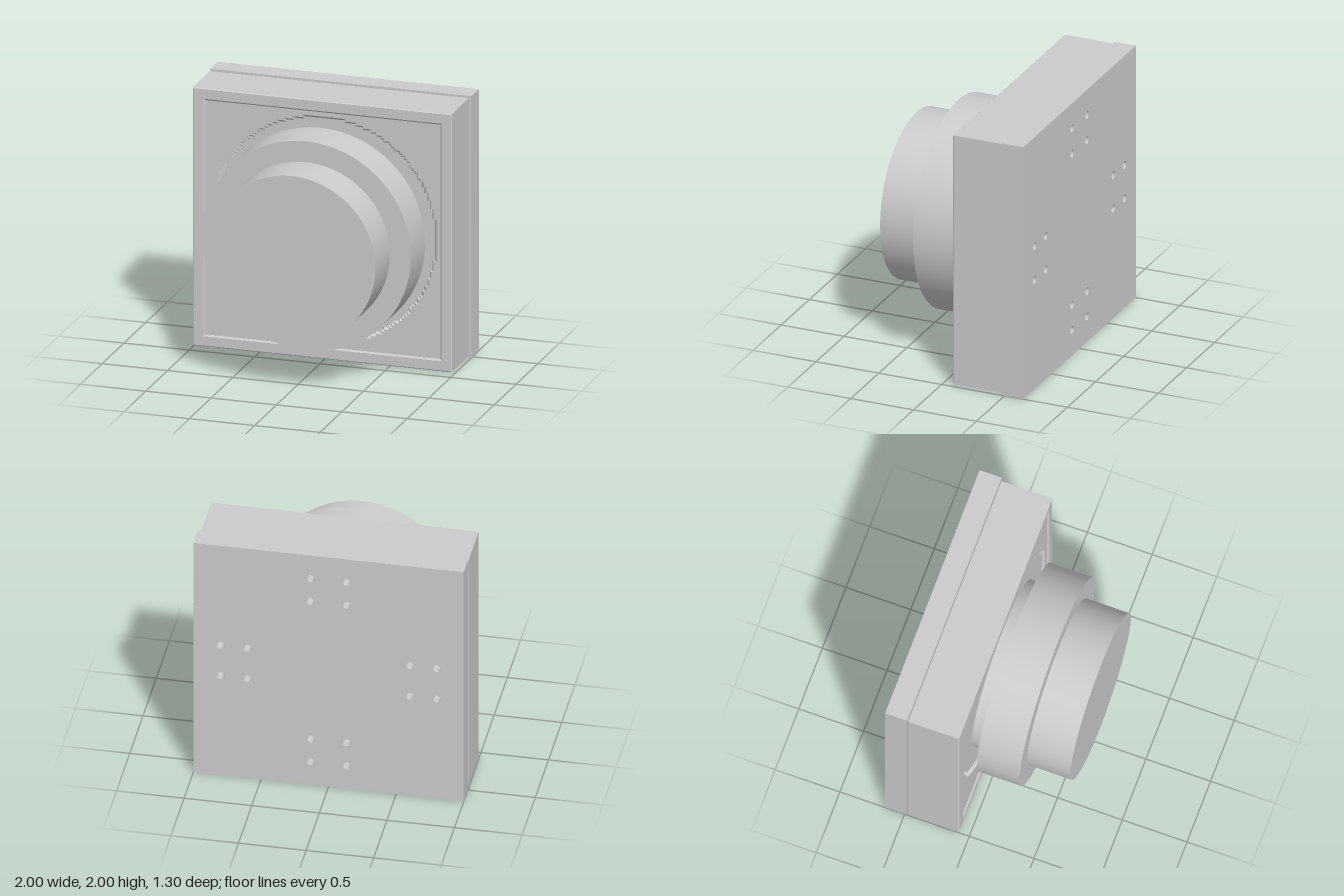
import * as THREE from 'three';

const material = new THREE.MeshStandardMaterial({ color: 0xcccccc });

function add(parent, name, geometry, x = 0, y = 0, z = 0) {
  const mesh = new THREE.Mesh(geometry, material);
  mesh.name = name;
  mesh.position.set(x, y, z);
  parent.add(mesh);
  return mesh;
}

// Counter-clockwise rectangle corners
const rect = (x0, x1, y0, y1) =>
  [[x0, y0], [x1, y0], [x1, y1], [x0, y1]].map(([x, y]) => new THREE.Vector2(x, y));

// Flat-shaded skin through loops of equal point count, back to front
function loft(loops) {
  const pos = [];
  for (let k = 0; k + 1 < loops.length; k++) {
    const a = loops[k], b = loops[k + 1], n = a.points.length;
    for (let i = 0; i < n; i++) {
      const j = (i + 1) % n;
      const quad = [[a, i], [a, j], [b, j], [a, i], [b, j], [b, i]];
      for (const [l, m] of quad) pos.push(l.points[m].x, l.points[m].y, l.z);
    }
  }
  const g = new THREE.BufferGeometry();
  g.setAttribute('position', new THREE.Float32BufferAttribute(pos, 3));
  g.computeVertexNormals();
  return g;
}

// Circle outline stepped onto a square lattice
function steppedCircle(radius, step) {
  const quarter = [];
  const rows = Math.round(radius / step);
  for (let j = 0; j < rows; j++) {
    const x = Math.round(Math.sqrt(radius ** 2 - ((j + 0.5) * step) ** 2) / step) * step;
    quarter.push(new THREE.Vector2(x, j * step), new THREE.Vector2(x, (j + 1) * step));
  }
  const points = [];
  for (let q = 0; q < 4; q++) {
    for (const p of quarter) {
      const r = p.clone().rotateAround(new THREE.Vector2(), q * Math.PI / 2);
      if (!points.length || points[points.length - 1].distanceTo(r) > 1e-5) points.push(r);
    }
  }
  return points;
}

export function createModel() {
  const model = new THREE.Group();
  model.name = 'squareBackedKnob';
  const centre = new THREE.Group();
  centre.name = 'assembly';
  centre.position.y = 1;
  model.add(centre);

  // Back plate with four clusters of blind screw holes
  const plate = new THREE.Shape(rect(-1, 1, -1, 1));
  for (let q = 0; q < 4; q++) {
    for (const along of [0.6, 0.8]) {
      for (const across of [-0.133, 0.133]) {
        const c = new THREE.Vector2(along, across).rotateAround(new THREE.Vector2(), q * Math.PI / 2);
        plate.holes.push(new THREE.Path().absarc(c.x, c.y, 0.03, 0, Math.PI * 2, true));
      }
    }
  }
  const drilled = new THREE.ExtrudeGeometry(plate, { depth: 0.1, bevelEnabled: false, curveSegments: 12 });
  add(centre, 'drilledBackPlate', drilled, 0, 0, -0.65);
  add(centre, 'backPlateFront', new THREE.BoxGeometry(2, 2, 0.07), 0, 0, -0.515);

  // Housing, slightly off centre, with fine chamfers and a recessed front panel
  const x0 = -1, x1 = 0.98, y0 = -0.99, y1 = 0.985, c = 0.007;
  const outer = rect(x0, x1, y0, y1);
  const chamfered = rect(x0 + c, x1 - c, y0 + c, y1 - c);
  const panelEdge = rect(-0.917, 0.905, -0.912, 0.905);
  const panel = rect(-0.905, 0.893, -0.9, 0.893);
  const panelZ = -0.092, floorZ = -0.112;
  add(centre, 'housing', loft([
    { points: chamfered, z: -0.48 },
    { points: outer, z: -0.48 + c },
    { points: outer, z: -0.08 - c },
    { points: chamfered, z: -0.08 },
    { points: panelEdge, z: -0.08 },
    { points: panel, z: panelZ },
  ]));

  // Round well with a stepped rim
  const rim = steppedCircle(0.866, 0.02);
  const rimInner = rim.map(p => p.clone().multiplyScalar(0.98));
  const panelShape = new THREE.Shape(panel);
  panelShape.holes.push(new THREE.Path(rim));
  add(centre, 'frontPanel', new THREE.ShapeGeometry(panelShape), 0, 0, panelZ);
  add(centre, 'wellRim', loft([{ points: rim, z: panelZ }, { points: rimInner, z: floorZ }]));
  add(centre, 'wellFloor', new THREE.ShapeGeometry(new THREE.Shape(rimInner)), 0, 0, floorZ);

  // Round barrel and its wide collar, axes along z
  const drum = (name, radius, back, front) => {
    const g = new THREE.CylinderGeometry(radius, radius, front - back, 128);
    add(centre, name, g.rotateX(Math.PI / 2), 0, 0, (back + front) / 2);
  };
  drum('barrel', 0.64, -0.13, 0.65);
  drum('collar', 0.8, -0.015, 0.315);

  return model;
}
